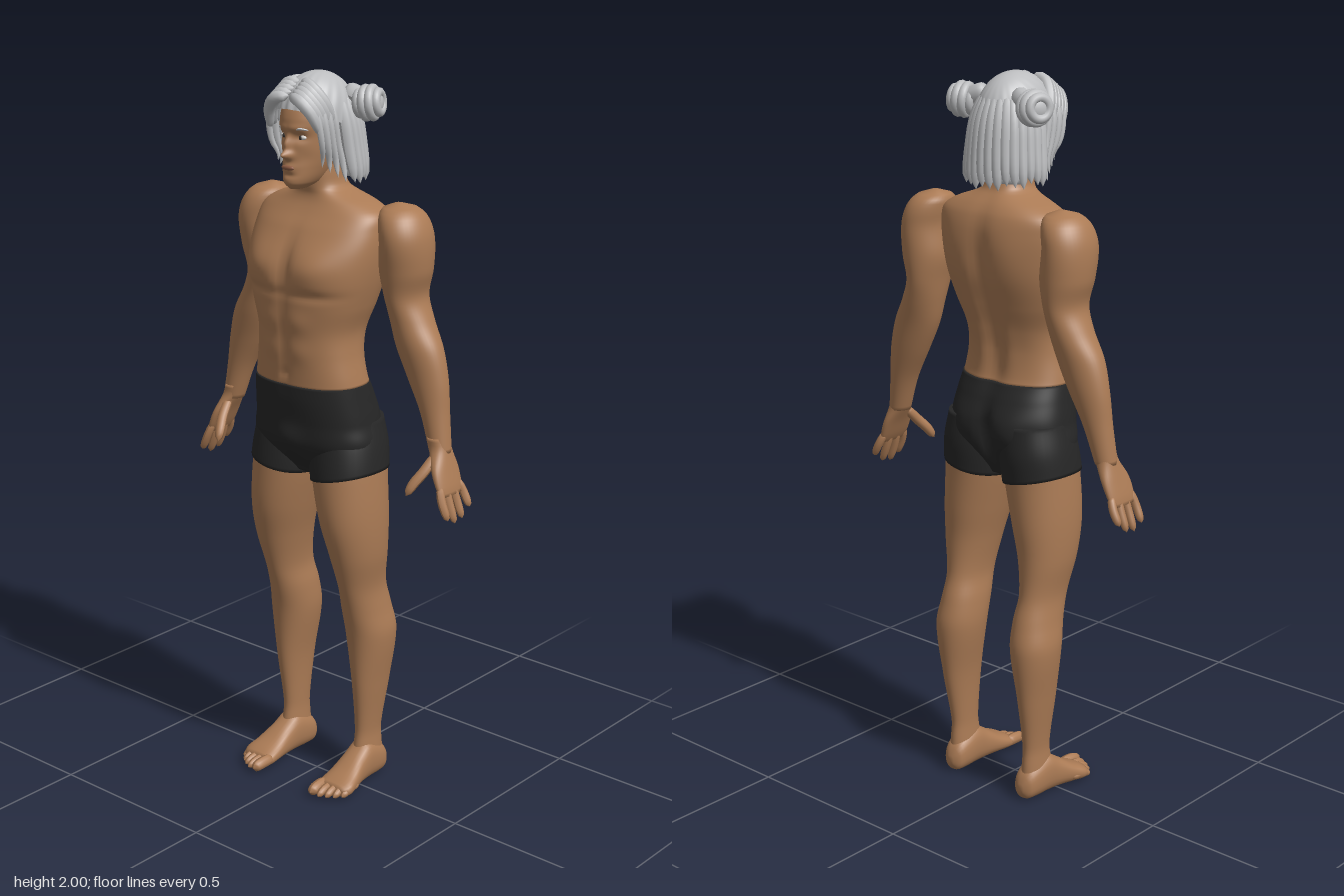
import * as THREE from 'three';

const mat = (name, color) => Object.assign(new THREE.MeshStandardMaterial({ color }), { name });
const V = (x, y, z) => new THREE.Vector3(x, y, z);
const bell = (d, s) => Math.exp(-(d * d) / (s * s));

// Smooth value of a ring table [y, centreX, halfWidth, front, back] at height y
function ringAt(rings, y) {
  let i = 0;
  while (i < rings.length - 2 && rings[i + 1][0] < y) i++;
  const a = rings[Math.max(i - 1, 0)], b = rings[i], c = rings[i + 1], d = rings[Math.min(i + 2, rings.length - 1)];
  const h = c[0] - b[0], t = (y - b[0]) / h, t2 = t * t, t3 = t2 * t;
  return b.map((p, k) => {
    const m0 = (c[k] - a[k]) / (c[0] - a[0]) * h, m1 = (d[k] - p) / (d[0] - b[0]) * h;
    return (2 * t3 - 3 * t2 + 1) * p + (t3 - 2 * t2 + t) * m0 + (3 * t2 - 2 * t3) * c[k] + (t3 - t2) * m1;
  });
}

// Closed loft through the rings; bumps are [side, x, y, sizeX, sizeY, depth], mirrored in x
function loft(rings, { s = 1, y0 = rings[0][0], y1 = rings.at(-1)[0], rows = 48, seg = 40, pow = 1, grow = 0, bumps = [], warp } = {}) {
  const pos = [], idx = [];
  const bend = v => Math.sign(v) * Math.abs(v) ** pow;
  const push = p => { if (warp) warp(p); pos.push(p.x * s, p.y, p.z); };
  for (let i = 0; i <= rows; i++) {
    const [y, cx, rx, zf, zb] = ringAt(rings, y0 + (y1 - y0) * i / rows);
    for (let j = 0; j < seg; j++) {
      // run the ring backwards on the mirrored side so it keeps facing outwards
      const a = j / seg * Math.PI * 2, c = Math.cos(a) * s, n = Math.sin(a);
      const p = V(cx + (rx + grow) * bend(c), y, (zf + zb) / 2 + ((zf - zb) / 2 + grow) * bend(n));
      for (const [side, bx, by, sx, sy, amt] of bumps)
        if (side * n > 0) p.z += side * amt * Math.abs(n) * bell(Math.abs(p.x) - bx, sx) * bell(y - by, sy);
      push(p);
    }
  }
  for (let i = 0; i < rows; i++) for (let j = 0; j < seg; j++) {
    const a = i * seg + j, b = i * seg + (j + 1) % seg;
    idx.push(a, a + seg, b, b, a + seg, b + seg);
  }
  for (const [y, base, top] of [[y0, 0, false], [y1, rows * seg, true]]) {
    const [, cx, , zf, zb] = ringAt(rings, y), centre = pos.length / 3;
    push(V(cx, y, (zf + zb) / 2));
    for (let j = 0; j < seg; j++) {
      const a = base + j, b = base + (j + 1) % seg;
      top ? idx.push(centre, b, a) : idx.push(centre, a, b);
    }
  }
  const g = new THREE.BufferGeometry();
  g.setAttribute('position', new THREE.Float32BufferAttribute(pos, 3));
  g.setIndex(idx);
  g.computeVertexNormals();
  return g;
}

// Tube with rounded or pointed ends, used for fingers, toes and locks of hair
function strand(points, r, tip = 8, s = 1, seg = 12) {
  const curve = new THREE.CatmullRomCurve3(points.map(([x, y, z]) => V(x * s, y, z)));
  const g = new THREE.TubeGeometry(curve, seg, r, 9), p = g.attributes.position, v = V();
  for (let i = 0; i < p.count; i++) {
    const t = Math.floor(i / 10) / seg, c = curve.getPointAt(t);
    const f = Math.sqrt(Math.max(0, 1 - t ** tip)) * Math.sqrt(Math.max(0, 1 - (1 - t) ** 10));
    v.fromBufferAttribute(p, i).sub(c).multiplyScalar(f).add(c);
    p.setXYZ(i, v.x, v.y, v.z);
  }
  g.computeVertexNormals();
  return g;
}

const ball = (x, y, z, rx, ry, rz) => new THREE.SphereGeometry(1, 24, 16).scale(rx, ry, rz).translate(x, y, z);

const BODY = [[.92, 0, .08, .05, -.07], [1, 0, .183, .105, -.115], [1.08, 0, .18, .12, -.128], [1.14, 0, .172, .128, -.112],
  [1.2, 0, .163, .13, -.088], [1.27, 0, .151, .134, -.085], [1.33, 0, .15, .138, -.1], [1.4, 0, .172, .143, -.125],
  [1.47, 0, .19, .145, -.145], [1.54, 0, .2, .126, -.15], [1.6, 0, .2, .093, -.148], [1.64, 0, .19, .062, -.138],
  [1.665, 0, .15, .046, -.123], [1.685, 0, .095, .04, -.105], [1.7, 0, .066, .042, -.092], [1.74, 0, .056, .045, -.08], [1.8, 0, .054, .045, -.075]];
const LEG = [[.05, .135, .033, -.005, -.118], [.1, .135, .029, -.012, -.115], [.15, .135, .027, -.018, -.112], [.3, .14, .041, -.003, -.135],
  [.45, .138, .063, .008, -.15], [.53, .133, .058, .025, -.135], [.6, .134, .052, .045, -.116], [.7, .134, .068, .075, -.112],
  [.8, .124, .083, .097, -.118], [.92, .108, .094, .1, -.122], [1, .1, .094, .093, -.128], [1.08, .09, .088, .08, -.12]];
const ARM = [[1.03, .372, .029, -.035, -.098], [1.13, .347, .041, -.035, -.11], [1.22, .318, .06, -.03, -.122], [1.3, .289, .068, -.022, -.13],
  [1.37, .26, .058, -.018, -.14], [1.43, .242, .052, -.008, -.148], [1.5, .243, .066, .005, -.154], [1.58, .247, .064, .015, -.154],
  [1.63, .236, .06, .006, -.145], [1.66, .224, .045, -.02, -.12], [1.672, .22, .012, -.06, -.08]];
const PALM = [[.925, .42, .009, -.01, -.098], [.945, .412, .014, -.004, -.104], [.99, .394, .019, -.008, -.107], [1.04, .372, .026, -.033, -.098], [1.07, .363, .028, -.035, -.1]];
// Foot rings run heel to toe, given as [z, x, halfWidth, -bottom, -top]
const FOOT = [[-.13, .133, .012, -.02, -.05], [-.12, .133, .028, -.004, -.075], [-.09, .134, .037, 0, -.1], [-.04, .136, .04, 0, -.118],
  [0, .138, .042, 0, -.095], [.05, .142, .05, 0, -.063], [.085, .144, .054, 0, -.046], [.105, .138, .047, -.004, -.035]];
const HEAD = [[1.705, 0, .018, .103, .04], [1.722, 0, .037, .117, -.01], [1.76, 0, .054, .113, -.06], [1.8, 0, .064, .111, -.085],
  [1.84, 0, .068, .112, -.1], [1.89, 0, .07, .114, -.1], [1.94, 0, .06, .088, -.085], [1.97, 0, .03, .04, -.05]];

// Muscle and face relief
const BODY_BUMPS = [[1, .095, 1.51, .07, .05, .018], [1, 0, 1.5, .02, .08, -.012], [1, .1, 1.435, .09, .014, -.007], [1, 0, 1.3, .012, .1, -.006],
  [1, .05, 1.36, .035, .03, .005], [1, .05, 1.28, .035, .03, .004], [1, 0, 1.215, .01, .012, -.006], [1, 0, 1.03, .045, .04, .014],
  [-1, 0, 1.4, .03, .2, -.02], [-1, .1, 1.54, .06, .07, .008], [-1, .05, 1.28, .03, .09, .007], [-1, .085, 1.05, .055, .06, .014], [-1, 0, 1.03, .018, .07, -.03]];
const FACE_BUMPS = [[1, 0, 1.795, .013, .011, .027], [1, 0, 1.822, .01, .022, .016], [1, .03, 1.84, .018, .013, -.01], [1, .025, 1.864, .03, .01, .004],
  [1, 0, 1.762, .022, .012, .007], [1, 0, 1.742, .02, .007, -.004], [1, .045, 1.785, .016, .02, -.004]];

export function createModel() {
  const skin = mat('skin', 0xab7b55), cloth = mat('black cloth', 0x262626), hair = mat('silver hair', 0xbcbdbf);
  const lip = mat('lips', 0x8f5d45), white = mat('eye white', 0xd8d4cf), dark = mat('iris', 0x3a3430);
  const model = new THREE.Group();
  const part = name => { const g = new THREE.Group(); g.name = name; model.add(g); return g; };
  const add = (parent, name, geo, m) => { const o = new THREE.Mesh(geo, m); o.name = name; parent.add(o); return o; };

  // Torso with neck, and the hips of the shorts
  const torso = part('torso'), shorts = part('shorts'), head = part('head'), hairdo = part('hair');
  add(torso, 'chestAndNeck', loft(BODY, { y0: 1.183, rows: 90, seg: 96, pow: .85, bumps: BODY_BUMPS }), skin);
  add(shorts, 'shortsHips', loft(BODY, { y1: 1.185, rows: 44, seg: 96, pow: .85, grow: .002, bumps: BODY_BUMPS }), cloth);

  // Head and face
  add(head, 'face', loft(HEAD, { rows: 100, seg: 120, pow: .92, bumps: FACE_BUMPS }), skin);
  add(head, 'mouth', ball(0, 1.762, .115, .021, .007, .007), lip);

  for (const s of [1, -1]) {
    const side = s > 0 ? 'left' : 'right';

    // Leg, shorts leg with slanted hem, foot and toes
    const leg = part(side + 'Leg');
    add(leg, 'leg', loft(LEG, { s, y1: .96, rows: 60, pow: .95 }), skin);
    add(shorts, side + 'ShortsLeg', loft(LEG, { s, y0: .925, rows: 16, pow: .95, grow: .004,
      warp: p => { p.y += (p.x - .11) * .2 * Math.min(1, Math.max(0, (1.07 - p.y) / .14)); } }), cloth);
    add(leg, 'foot', loft(FOOT, { s, rows: 30, seg: 28, pow: .85 }).rotateX(Math.PI / 2), skin);
    for (let i = 0; i < 5; i++) {
      const x = [.106, .13, .15, .168, .184][i], tip = [.155, .15, .14, .127, .11][i], r = i ? .0115 : .017;
      add(leg, 'toe', strand([[x - .002, .024, tip - .075], [x, .022, tip - .03], [x + .002, r, tip]], r, 8, s), skin);
    }

    // Arm, palm, fingers and thumb
    const arm = part(side + 'Arm');
    add(arm, 'arm', loft(ARM, { s, rows: 60 }), skin);
    add(arm, 'palm', loft(PALM, { s, rows: 16, seg: 28, pow: .85 }), skin);
    for (let i = 0; i < 4; i++) {
      const z = -.017 - i * .025, l = [.085, .1, .094, .07][i], spread = (1.5 - i) * .006;
      add(arm, 'finger', strand([[.409, .955, z], [.425, .955 - l * .5, z + spread], [.446, .952 - l, z + spread]], .0115, 8, s), skin);
    }
    add(arm, 'thumb', strand([[.374, 1.03, -.05], [.363, .985, -.008], [.349, .955, .018], [.34, .925, .037]], .0145, 8, s), skin);

    // Eye, brow and ear
    add(head, side + 'Eye', ball(s * .029, 1.84, .092, .014, .0065, .007), white);
    add(head, side + 'Iris', ball(s * .028, 1.84, .0965, .0055, .006, .004), dark);
    add(head, side + 'Brow', strand([[.012, 1.857, .109], [.03, 1.864, .107], [.05, 1.86, .09]], .0035, 4, s), hair);
    add(head, side + 'Ear', ball(0, 0, 0, .009, .032, .019).rotateX(-.25).rotateY(s * -.35).translate(s * .072, 1.828, .002), skin);

    // Coiled bun
    const bun = new THREE.Group();
    bun.name = side + 'Bun';
    bun.position.set(s * .122, 1.92, -.065);
    bun.rotation.set(0, s * .35, s * .1);
    hairdo.add(bun);
    add(bun, 'bunCore', ball(0, 0, 0, .036, .044, .044), hair);
    for (const [x, r] of [[-.026, .027], [-.009, .036], [.009, .036], [.025, .026]])
      add(bun, 'bunCoil', new THREE.TorusGeometry(r, .0125, 10, 28).rotateY(Math.PI / 2).translate(x, 0, 0), hair);
    add(hairdo, 'bunTie', strand([[.05, 1.95, -.05], [.085, 1.935, -.06], [.12, 1.92, -.065]], .026, 8, s), hair);

    // Fringe swept to the side, then locks hanging beside the face
    for (let i = 0; i < 5; i++) {
      const k = i / 4;
      add(hairdo, 'fringeLock', strand([[.004, 1.975 - k * .03, .06 + k * .045], [.035 + k * .006, 1.972 - k * .035, .072 + k * .045],
        [.07, 1.93 - k * .025, .055 + k * .05], [.086, 1.87 - k * .02, .03 + k * .055]], .017, 4, s), hair);
    }
    for (let i = 0; i < 4; i++) {
      const z = .02 + i * .02;
      add(hairdo, 'sideLock', strand([[.06, 1.945, z + .005], [.083, 1.89, z + .012], [.087, 1.82, z], [.094 - i * .006, 1.765 + i * .006, z - .014],
        [.106 - i * .01, 1.722 + i * .014, z - .012]], i === 3 ? .009 : .012, 3, s), hair);
    }
  }

  // Hair cap, ridged like combed strands and lifted at the forehead
  const cap = new THREE.SphereGeometry(1, 120, 24, 0, Math.PI * 2, 0, Math.PI * .53), p = cap.attributes.position;
  for (let i = 0; i < p.count; i++) {
    const x = p.getX(i), y = p.getY(i), z = p.getZ(i), f = 1 + .014 * Math.cos(Math.atan2(z, x) * 20) * (1 - y * y);
    p.setXYZ(i, x * f * .092, y * .117, z * f * .116);
  }
  cap.rotateX(-.35).translate(0, 1.882, 0).computeVertexNormals();
  const capMesh = add(hairdo, 'hairCap', cap, hair);
  capMesh.material = hair;
  hair.side = THREE.DoubleSide;

  // Long locks round the back, over a filler mass
  add(hairdo, 'backHair', loft([[1.725, 0, .098, -.035, -.12], [1.8, 0, .094, -.02, -.12], [1.88, 0, .085, 0, -.112], [1.94, 0, .06, 0, -.09]], { rows: 16 }), hair);
  for (let i = 0; i < 17; i++) {
    const a = (i / 16 - .5) * Math.PI * 1.08, x = Math.sin(a), z = Math.cos(a), drop = (i % 3) * .006;
    add(hairdo, 'backLock', strand([[x * .06, 1.95, -.02 - z * .065], [x * .088, 1.88, -.018 - z * .095], [x * .1, 1.8, -.024 - z * .102],
      [x * .11, 1.74, -.03 - z * .1], [x * .114, 1.7 + drop + Math.abs(x) * .012, -.032 - z * .096]], .0165, 6), hair);
  }
  return model;
}
